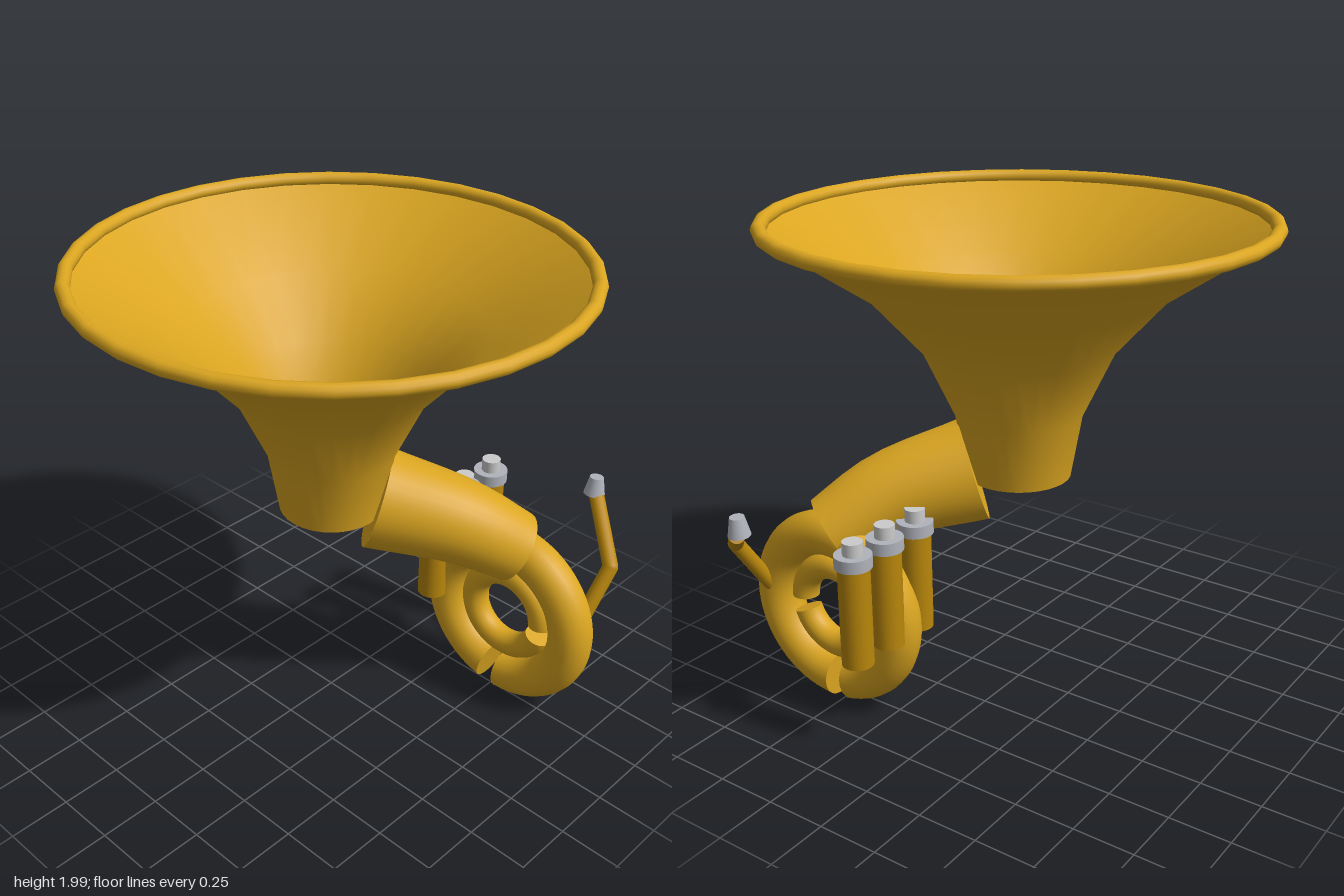
import * as THREE from 'three';

const V = (x, y, z) => new THREE.Vector3(x, y, z);
const paint = (color) => new THREE.MeshStandardMaterial({ color, side: THREE.DoubleSide });
const gold = paint(0xdaa520);
const brass = paint(0xb8860b);
const silver = paint(0xb0b3ba);
const pearl = paint(0xdcdcdc);
const dark = paint(0x33271a);

function add(parent, name, geometry, material, position) {
  const mesh = new THREE.Mesh(geometry, material);
  mesh.name = name;
  if (position) mesh.position.copy(position);
  parent.add(mesh);
  return mesh;
}

// Flat disc facing along a direction
function disc(parent, name, radius, position, normal, material) {
  const mesh = add(parent, name, new THREE.CircleGeometry(radius, 32), material, position);
  mesh.quaternion.setFromUnitVectors(V(0, 0, 1), normal.clone().normalize());
}

// Cylinder between two points
function rod(parent, name, a, b, radius, material) {
  const d = b.clone().sub(a);
  const geometry = new THREE.CylinderGeometry(radius, radius, d.length(), 16);
  const mesh = add(parent, name, geometry, material, a.clone().lerp(b, 0.5));
  mesh.quaternion.setFromUnitVectors(V(0, 1, 0), d.normalize());
}

// Tube along a curve whose radius shrinks from r0 to r1, with end discs
function taperedPipe(parent, name, curve, r0, r1, steps) {
  const sides = 32;
  const geometry = new THREE.TubeGeometry(curve, steps, 1, sides);
  const p = geometry.attributes.position;
  const v = V(0, 0, 0);
  for (let i = 0; i < p.count; i++) {
    const t = Math.floor(i / (sides + 1)) / steps;
    const c = curve.getPointAt(t);
    v.fromBufferAttribute(p, i).sub(c).multiplyScalar(r0 + (r1 - r0) * t).add(c);
    p.setXYZ(i, v.x, v.y, v.z);
  }
  add(parent, name, geometry, gold);
  disc(parent, name + 'Start', r0, curve.getPointAt(0), curve.getTangentAt(0).negate(), gold);
  disc(parent, name + 'End', r1, curve.getPointAt(1), curve.getTangentAt(1), gold);
}

// Nearly closed ring of tubing standing in the y-z plane, angles in degrees
function coil(parent, name, R, r, start, arc) {
  const group = new THREE.Group();
  group.name = name;
  group.position.set(0.53, 0.417, 0.535);
  group.rotation.y = Math.PI / 2;
  parent.add(group);
  const rad = Math.PI / 180;
  const geometry = new THREE.TorusGeometry(R, r, 20, 64, arc * rad);
  geometry.rotateZ(start * rad);
  add(group, name + 'Tube', geometry, gold);
  [[start, -1], [start + arc, 1]].forEach(([deg, sign]) => {
    const c = Math.cos(deg * rad), s = Math.sin(deg * rad);
    disc(group, name + 'Cap', r, V(c * R, s * R, 0), V(-s * sign, c * sign, 0), gold);
  });
}

export function createModel() {
  const model = new THREE.Group();
  model.name = 'horn';

  // Flared bell with rolled rim and closed throat
  const profile = [[0.21, 0.95], [0.255, 1.21], [0.38, 1.48], [0.59, 1.715], [0.95, 1.96]];
  const bell = new THREE.LatheGeometry(profile.map(([r, y]) => new THREE.Vector2(r, y)), 32);
  add(model, 'bell', bell, gold);
  const rim = new THREE.TorusGeometry(0.963, 0.028, 12, 32);
  rim.rotateX(Math.PI / 2);
  add(model, 'bellRim', rim, gold, V(0, 1.972, 0));
  disc(model, 'bellBase', 0.21, V(0, 0.95, 0), V(0, -1, 0), gold);
  disc(model, 'throat', 0.18, V(0, 0.96, 0), V(0, 1, 0), dark);

  // Tapered pipe from the bell to the coils
  const path = new THREE.CatmullRomCurve3([V(0.13, 0.98, 0.13), V(0.35, 0.88, 0.39), V(0.525, 0.745, 0.55)]);
  taperedPipe(model, 'bellPipe', path, 0.21, 0.15, 8);

  // Outer and inner coils
  coil(model, 'outerCoil', 0.32, 0.092, -77.5, 346.5);
  coil(model, 'innerCoil', 0.175, 0.056, 199, 340);

  // Three valves in a row
  [0.432, 0.614, 0.796].forEach((x) => {
    const valve = new THREE.Group();
    valve.name = 'valve';
    valve.position.set(x, 0, 0.195);
    model.add(valve);
    add(valve, 'valveBody', new THREE.CylinderGeometry(0.0625, 0.0625, 0.41, 24), brass, V(0, 0.595, 0));
    add(valve, 'valveCollar', new THREE.CylinderGeometry(0.073, 0.073, 0.05, 24), silver, V(0, 0.825, 0));
    add(valve, 'valveButton', new THREE.CylinderGeometry(0.04, 0.04, 0.055, 24), pearl, V(0, 0.875, 0));
  });

  // Bent mouth pipe and mouthpiece
  const a = V(0.59, 0.45, 0.845), b = V(0.745, 0.69, 0.872), c = V(0.94, 0.86, 0.645);
  rod(model, 'lowerMouthPipe', a, b, 0.032, brass);
  rod(model, 'upperMouthPipe', b, c, 0.032, brass);
  add(model, 'mouthPipeElbow', new THREE.SphereGeometry(0.032, 16, 12), brass, b);
  const piece = new THREE.CylinderGeometry(0.029, 0.045, 0.078, 20);
  add(model, 'mouthpiece', piece, silver, V(0.935, 0.9, 0.64)).rotation.z = -0.08;

  return model;
}
